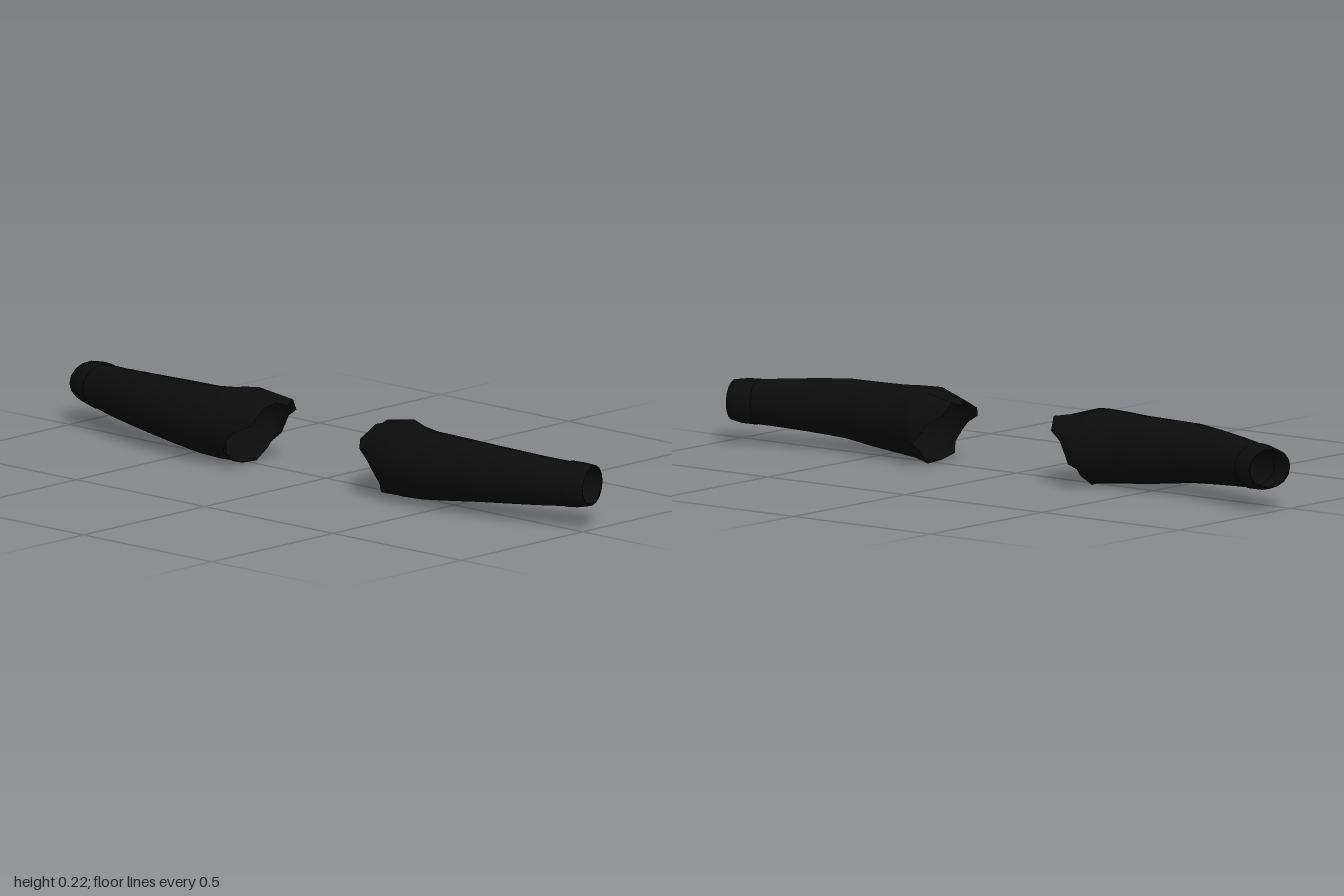
import * as THREE from 'three';

const SIDES = 16;

// Oval ring, slanted in plan: front/back x and z, bottom/top y
function ring([xf, xb, zf, zb, y0, y1]) {
  const points = [];
  for (let i = 0; i < SIDES; i++) {
    const a = (i / SIDES) * Math.PI * 2;
    const c = Math.cos(a), s = Math.sin(a);
    points.push([
      (xf + xb) / 2 + ((xf - xb) / 2) * c,
      (y0 + y1) / 2 + ((y1 - y0) / 2) * s,
      (zf + zb) / 2 + ((zf - zb) / 2) * c,
    ]);
  }
  return points;
}

// Open skin through a list of rings; side = -1 mirrors it in x
function skin(rings, side) {
  const positions = [], index = [];
  for (const r of rings) for (const [x, y, z] of r) positions.push(x * side, y, z);
  for (let k = 0; k < rings.length - 1; k++) {
    for (let i = 0; i < SIDES; i++) {
      const j = (i + 1) % SIDES;
      const a = k * SIDES + i, b = a + SIDES;
      const c = k * SIDES + j, d = c + SIDES;
      if (side > 0) index.push(a, b, c, c, b, d);
      else index.push(a, c, b, c, d, b);
    }
  }
  const geometry = new THREE.BufferGeometry();
  geometry.setAttribute('position', new THREE.Float32BufferAttribute(positions, 3));
  geometry.setIndex(index);
  geometry.computeVertexNormals();
  return geometry;
}

// Ragged shoulder opening, from the front over the top and round
const shoulderEdge = [
  [0.26, 0.11, 0.105], [0.21, 0.135, 0.085], [0.2, 0.16, 0.07], [0.205, 0.178, 0.04],
  [0.195, 0.19, 0], [0.18, 0.18, -0.03], [0.185, 0.192, -0.06], [0.2, 0.155, -0.09],
  [0.24, 0.13, -0.1], [0.285, 0.07, -0.118], [0.29, 0.05, -0.08], [0.3, 0.002, -0.03],
  [0.3, 0.005, 0.03], [0.29, 0.02, 0.08], [0.305, 0.05, 0.102], [0.285, 0.085, 0.11],
];

// Sleeve sections from shoulder to wrist
const sleeveSections = [
  [0.31, 0.3, 0.118, -0.118, 0.003, 0.22],
  [0.36, 0.35, 0.125, -0.088, 0.006, 0.215],
  [0.44, 0.42, 0.126, -0.075, 0.011, 0.209],
  [0.53, 0.51, 0.117, -0.07, 0.021, 0.208],
  [0.64, 0.61, 0.1, -0.055, 0.034, 0.207],
  [0.74, 0.71, 0.077, -0.067, 0.042, 0.2],
  [0.84, 0.8, 0.05, -0.083, 0.049, 0.192],
  [0.93, 0.89, 0.021, -0.108, 0.056, 0.184],
];

// Cuff band, then a hem folded back inside
const cuffSections = [
  [0.928, 0.886, 0.021, -0.107, 0.057, 0.183],
  [0.93, 0.888, 0.024, -0.112, 0.054, 0.187],
  [0.965, 0.922, 0.012, -0.122, 0.056, 0.185],
  [1.0, 0.955, 0, -0.13, 0.064, 0.18],
  [0.995, 0.953, -0.006, -0.124, 0.07, 0.174],
  [0.93, 0.89, 0.014, -0.1, 0.063, 0.177],
];

export function createModel() {
  const model = new THREE.Group();
  model.name = 'sleeves';
  const fabric = new THREE.MeshStandardMaterial({ color: 0x0c0c0c, side: THREE.DoubleSide });
  fabric.name = 'black fabric';

  for (const [side, label] of [[1, 'left'], [-1, 'right']]) {
    const arm = new THREE.Group();
    arm.name = label + 'Arm';
    const sleeve = new THREE.Mesh(skin([shoulderEdge, ...sleeveSections.map(ring)], side), fabric);
    sleeve.name = label + 'Sleeve';
    const cuff = new THREE.Mesh(skin(cuffSections.map(ring), side), fabric);
    cuff.name = label + 'Cuff';
    arm.add(sleeve, cuff);
    model.add(arm);
  }
  return model;
}
